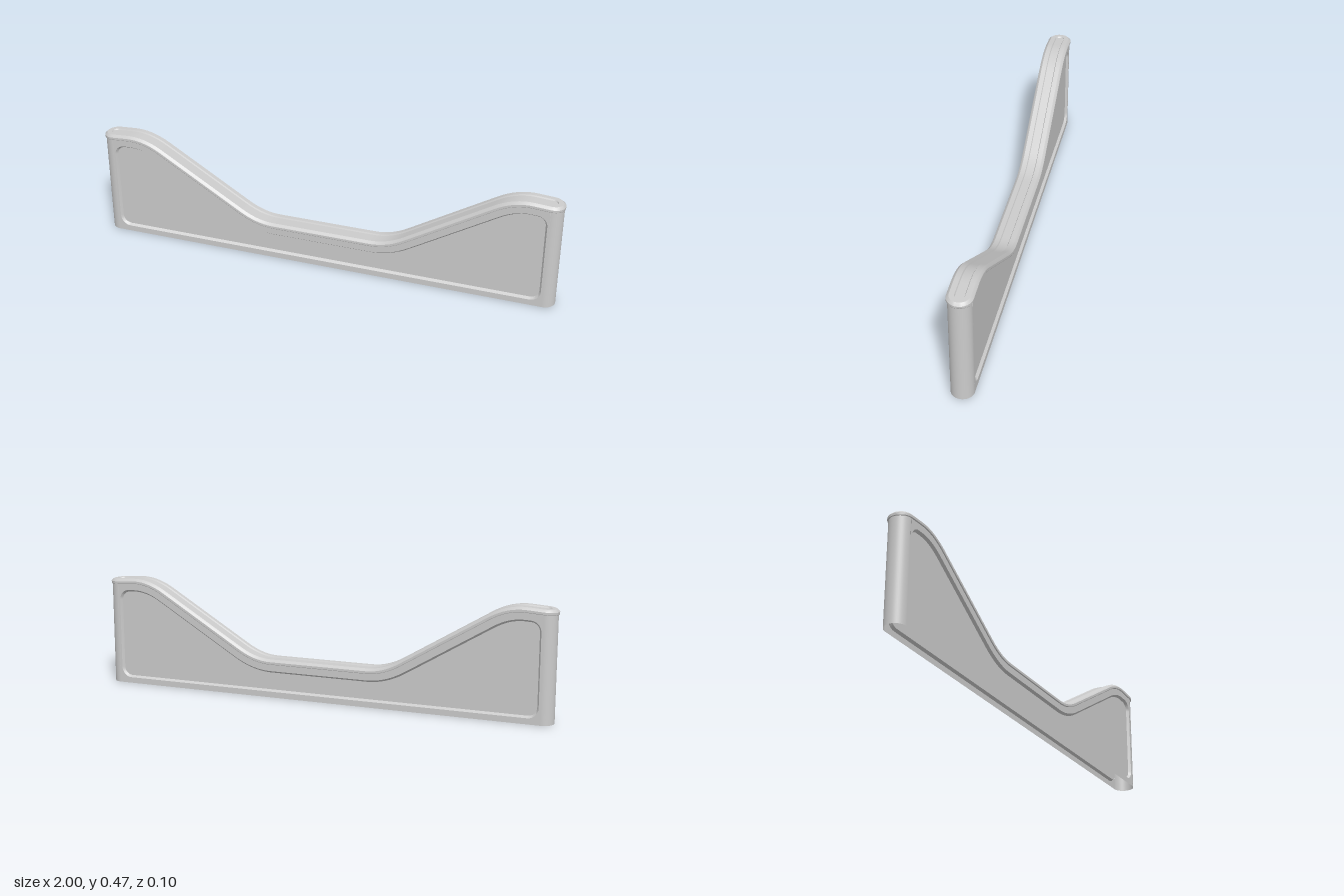
import * as THREE from 'three';
import { toCreasedNormals } from 'three/addons/utils/BufferGeometryUtils.js';

const HALF = 0.949;   // half length of the straight part
const WALL = 0.046;   // half thickness of the body
const material = new THREE.MeshStandardMaterial({ color: 0xcccccc, side: THREE.DoubleSide });

// Top line: flat middle, slopes up to gently falling shoulders, rounded at the bends
const ramp = (t, w) => (t < -w ? 0 : t > w ? t : (t + w) ** 2 / (4 * w));
const topY = (x) => 0.165 + 0.602 * ramp(Math.abs(x) - 0.285, 0.07) - 0.667 * ramp(Math.abs(x) - 0.8, 0.08);

// Point at distance d from the top line, measured along its normal
function offsetTop(x, d) {
  const slope = (topY(x + 0.001) - topY(x - 0.001)) / 0.002;
  const len = Math.hypot(1, slope);
  return new THREE.Vector2(x - (slope / len) * d, topY(x) + d / len);
}

// Top line samples from right to left
function topLine(xEnd, d, n = 90) {
  return Array.from({ length: n + 1 }, (_, i) => offsetTop(xEnd - (2 * xEnd * i) / n, d));
}

// Skin over closed rings with equal point counts
function loft(rings) {
  const n = rings[0].length, index = [];
  for (let i = 0; i < rings.length - 1; i++) {
    for (let j = 0; j < n; j++) {
      const k = (j + 1) % n;
      const a = i * n + j, b = i * n + k, c = b + n, d = a + n;
      index.push(a, b, c, a, c, d);
    }
  }
  const g = new THREE.BufferGeometry().setFromPoints(rings.flat());
  g.setIndex(index);
  return toCreasedNormals(g, 0.45);
}

function part(name, geometry) {
  const mesh = new THREE.Mesh(geometry, material);
  mesh.name = name;
  return mesh;
}

// Stadium-shaped ring of radius r that follows the top line at offset d
function capRing(r, d) {
  const pts = [], n = 90, arc = 16;
  for (const s of [1, -1]) {
    for (let i = 0; i < n; i++) {
      const p = offsetTop(s * HALF * ((2 * i) / n - 1), d);
      pts.push(new THREE.Vector3(p.x, p.y, s * r));
    }
    for (let i = 0; i < arc; i++) {
      const t = (Math.PI * i) / arc;
      const p = offsetTop(s * (HALF + r * Math.sin(t)), d);
      pts.push(new THREE.Vector3(p.x, p.y, s * r * Math.cos(t)));
    }
  }
  return pts;
}

// Rounded outline of the sunken panel, counterclockwise
function panelOutline(inset) {
  const side = 0.94 - inset, floor = 0.025 + inset, r = 0.045 - inset, d = -0.05 - inset;
  const pts = [];
  const corner = (cx, cy, start) => {
    for (let i = 0; i <= 8; i++) {
      const t = start + (Math.PI / 2) * (i / 8);
      pts.push(new THREE.Vector2(cx + r * Math.cos(t), cy + r * Math.sin(t)));
    }
  };
  const x = side - r, yTop = offsetTop(x, d).y - r;
  corner(-x, floor + r, Math.PI);
  corner(x, floor + r, 1.5 * Math.PI);
  corner(x, yTop, 0);
  pts.push(...topLine(x, d).slice(1, -1));
  corner(-x, yTop, Math.PI / 2);
  return pts;
}

// One long side: frame, sloped recess edge and sunken panel
function createSide(name) {
  const side = new THREE.Group();
  side.name = name;
  const outer = panelOutline(0), inner = panelOutline(0.008), depth = 0.011;

  const frame = new THREE.Shape([
    new THREE.Vector2(-HALF, 0), new THREE.Vector2(HALF, 0), ...topLine(HALF, -0.019),
  ]);
  frame.holes.push(new THREE.Path(outer));
  side.add(part('sideFrame', new THREE.ShapeGeometry(frame).translate(0, 0, WALL)));

  const at = (pts, z) => pts.map((p) => new THREE.Vector3(p.x, p.y, z));
  side.add(part('recessEdge', loft([at(outer, WALL), at(inner, WALL - depth)])));
  side.add(part('sunkenPanel',
    new THREE.ShapeGeometry(new THREE.Shape(inner)).translate(0, 0, WALL - depth)));
  return side;
}

export function createModel() {
  const model = new THREE.Group();
  model.name = 'dippedBarrier';

  // Hollow body, open underneath
  const front = createSide('frontSide');
  const back = createSide('backSide');
  back.rotation.y = Math.PI;
  model.add(front, back);

  // Rounded ends
  const height = 0.445;
  for (const [name, s, start] of [['leftEnd', 1, 0], ['rightEnd', -1, Math.PI]]) {
    const end = part(name, new THREE.CylinderGeometry(WALL, WALL, height, 24, 1, true, start, Math.PI));
    end.position.set(s * HALF, height / 2, 0);
    model.add(end);
  }

  // Overhanging cap with bevelled rim and a shallow channel along the top
  const section = [
    [WALL, -0.021], [0.05, -0.021], [0.051, -0.019], [0.051, -0.01], [0.049, -0.007],
    [0.04, 0], [0.02, 0], [0.017, -0.005], [0, -0.005],
  ];
  model.add(part('cap', loft(section.map(([r, d]) => capRing(r, d)))));

  return model;
}
